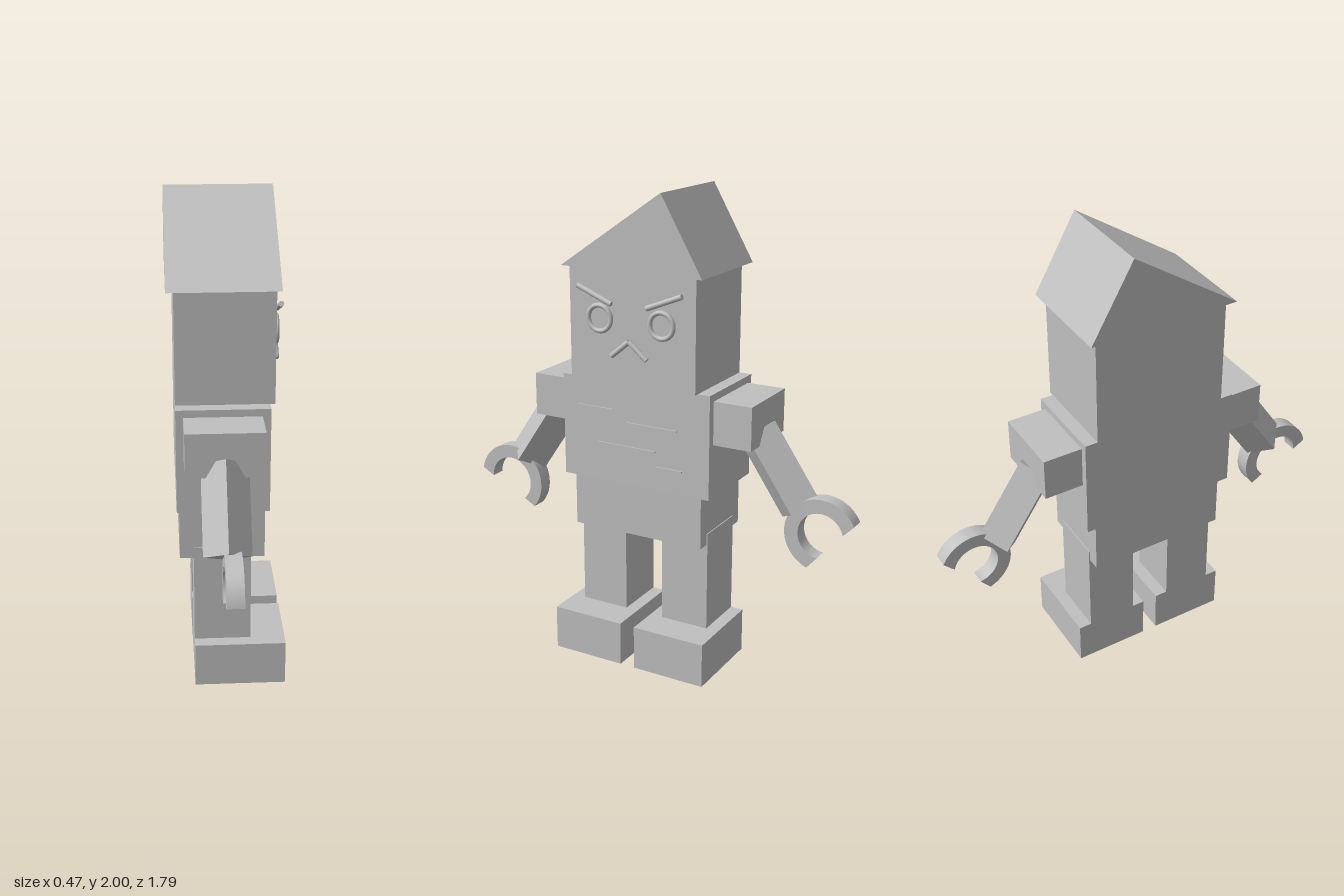
import * as THREE from 'three';
import { toCreasedNormals } from 'three/addons/utils/BufferGeometryUtils.js';

export function createModel() {
  const grey = new THREE.MeshStandardMaterial({ color: 0xc0c0c0 });
  const model = new THREE.Group();
  model.name = 'blockRobot';

  // The body is built facing local +z, then turned to face +x
  const body = new THREE.Group();
  body.name = 'body';
  body.rotation.y = Math.PI / 2;
  model.add(body);
  const MID = -0.01; // symmetry plane

  function add(name, geometry, x = 0, y = 0, z = 0, roll = 0) {
    const mesh = new THREE.Mesh(geometry, grey);
    mesh.name = name;
    mesh.position.set(x, y, z);
    mesh.rotation.z = roll;
    body.add(mesh);
    return mesh;
  }
  function box(name, x0, x1, y0, y1, z0, z1) {
    return add(name, new THREE.BoxGeometry(x1 - x0, y1 - y0, z1 - z0),
      (x0 + x1) / 2, (y0 + y1) / 2, (z0 + z1) / 2);
  }
  // Round bar between two points of the face plane
  function bar(name, x0, y0, x1, y1, z, r) {
    const dx = x1 - x0, dy = y1 - y0;
    add(name, new THREE.CylinderGeometry(r, r, Math.hypot(dx, dy), 16),
      (x0 + x1) / 2, (y0 + y1) / 2, z, Math.atan2(-dx, dy));
  }
  // Open claw: an arc with a straight cut across both tips (angles in degrees)
  function claw(name, x, y, rOut, rIn, a0, a1, b0, b1) {
    const rad = THREE.MathUtils.degToRad;
    const shape = new THREE.Shape();
    shape.absarc(0, 0, rOut, rad(a0), rad(a1), false);
    shape.absarc(0, 0, rIn, rad(b1), rad(b0), true);
    const geo = new THREE.ExtrudeGeometry(shape, { depth: 0.066, bevelEnabled: false, curveSegments: 20 });
    add(name, toCreasedNormals(geo, 0.5), x, y, -0.042);
  }

  // Trunk and head
  box('hips', MID - 0.298, MID + 0.298, 0.57, 0.795, -0.2, 0.145);
  box('torso', MID - 0.34, MID + 0.34, 0.795, 1.23, -0.21, 0.16);
  box('head', MID - 0.286, MID + 0.286, 1.23, 1.69, -0.21, 0.18);

  // Lopsided roof-shaped hat
  const roof = new THREE.Shape();
  roof.moveTo(-0.326, 1.688);
  roof.lineTo(0.31, 1.688);
  roof.lineTo(0.13, 2);
  roof.closePath();
  add('hat', new THREE.ExtrudeGeometry(roof, { depth: 0.438, bevelEnabled: false }), 0, 0, -0.24);

  for (const s of [-1, 1]) {
    const side = s < 0 ? 'left' : 'right';
    const span = (a, b) => [MID + s * a, MID + s * b].sort((p, q) => p - q);

    // Legs and feet
    box(side + 'Leg', ...span(0.088, 0.302), 0.19, 0.618, -0.143, 0.09);
    box(side + 'Foot', ...span(0.033, 0.357), 0, 0.19, -0.143, 0.233);

    // Shoulder and square forearm turned on its edge
    box(side + 'Shoulder', ...span(0.33, 0.505), 1.02, 1.2, -0.18, 0.127);
    const arm = new THREE.CylinderGeometry(0.093, 0.093, 0.355, 4);
    add(side + 'Arm', toCreasedNormals(arm, 0.5), MID + s * 0.558, 0.911, -0.026, s * 0.598);

    // Eye ring, eyebrow and half of the mouth
    add(side + 'Eye', new THREE.TorusGeometry(0.052, 0.01, 12, 32), MID + s * 0.141, 1.491, 0.191);
    bar(side + 'Eyebrow', MID + s * 0.08, 1.555, MID + s * 0.236, 1.617, 0.201, 0.011);
    bar(side + 'Mouth', MID, 1.413, MID + s * 0.08, 1.347, 0.201, 0.011);
  }

  // Hands
  claw('leftHand', -0.739, 0.646, 0.161, 0.103, -42, 169, -49, 180);
  claw('rightHand', 0.755, 0.681, 0.154, 0.096, 26, 250, 13, 264);

  // Thin chest lines: start, end, height
  const lines = [
    [-0.278, -0.109, 1.108],
    [-0.048, 0.185, 1.062],
    [-0.188, 0.087, 0.959],
    [0.093, 0.209, 0.895],
  ];
  for (const [x0, x1, y] of lines) box('chestLine', x0, x1, y - 0.003, y + 0.003, 0.158, 0.166);

  return model;
}
